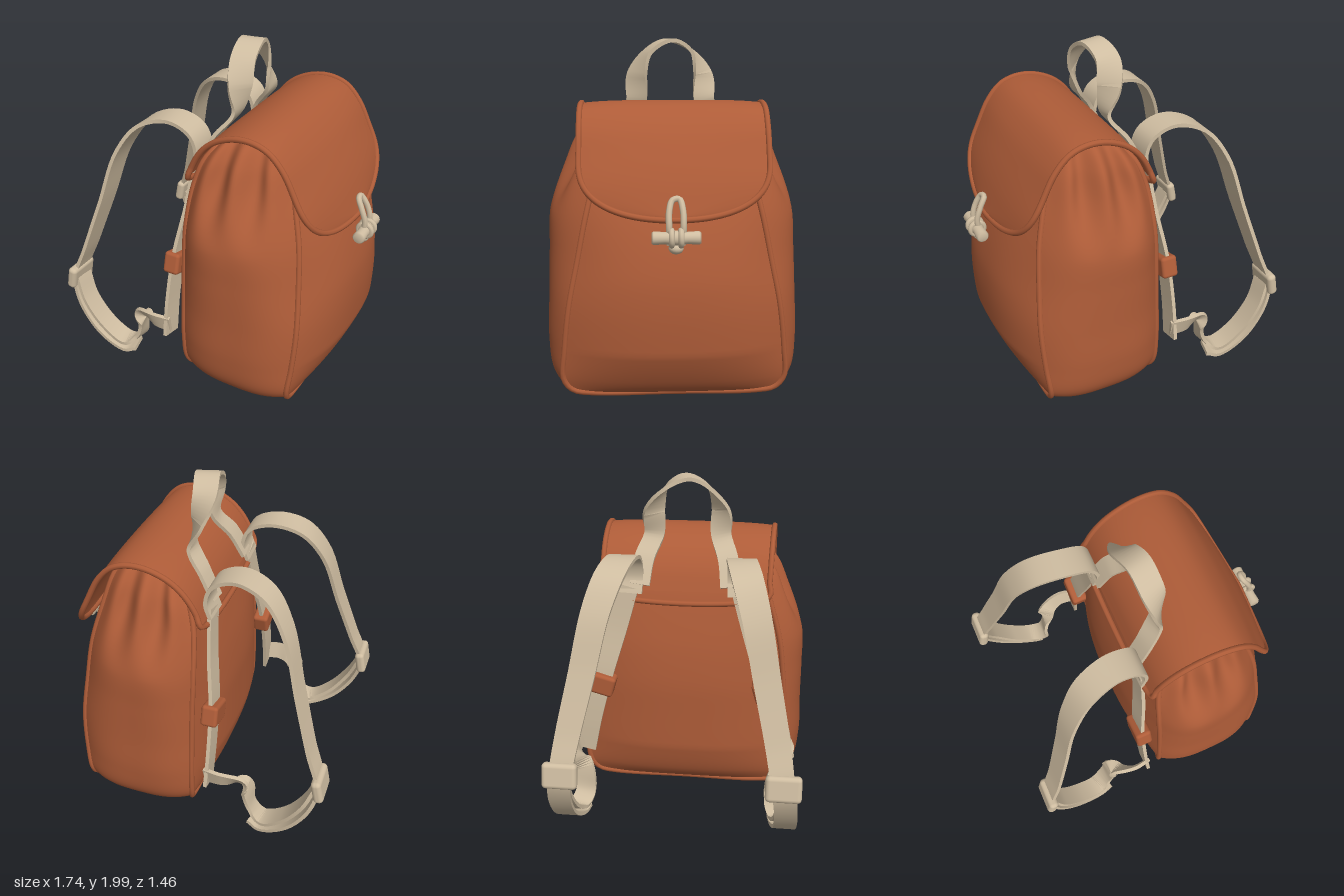
import * as THREE from 'three';
import { toCreasedNormals } from 'three/addons/utils/BufferGeometryUtils.js';
import { RoundedBoxGeometry } from 'three/addons/geometries/RoundedBoxGeometry.js';

const V = (x, y, z) => new THREE.Vector3(x, y, z);
const smooth = THREE.MathUtils.smoothstep;
const leather = new THREE.MeshStandardMaterial({ color: 0xae5c38, side: THREE.DoubleSide });
leather.name = 'brown leather';
const canvas = new THREE.MeshStandardMaterial({ color: 0xcfbda1 });
canvas.name = 'beige webbing';

// Surface from a rule f(i, j) -> point, on a grid of n by m cells
function grid(n, m, f) {
  const pos = [], idx = [];
  for (let i = 0; i <= n; i++) for (let j = 0; j <= m; j++) pos.push(...f(i, j).toArray());
  for (let i = 0; i < n; i++) for (let j = 0; j < m; j++) {
    const a = i * (m + 1) + j, b = a + m + 1;
    idx.push(a, b, a + 1, b, b + 1, a + 1);
  }
  const g = new THREE.BufferGeometry();
  g.setAttribute('position', new THREE.Float32BufferAttribute(pos, 3));
  g.setIndex(idx);
  g.computeVertexNormals();
  return g;
}

// Closed outline from a half outline (top centre down to bottom centre)
function loop(half) {
  const right = half.map(p => V(...p));
  const left = right.slice(1, -1).reverse().map(p => V(p.x, p.y, -p.z));
  return new THREE.CatmullRomCurve3([...right, ...left], true);
}

// Flat band swept along points [x, y, z, width direction x, y, z, width]
function band(points, thick = 0.022, n = 70) {
  const path = new THREE.CatmullRomCurve3(points.map(p => V(p[0], p[1], p[2])));
  const dirs = new THREE.CatmullRomCurve3(points.map(p => V(p[3], p[4], p[5])));
  const widths = new THREE.CatmullRomCurve3(points.map((p, i) => V(p[6], i, 0)));
  const corners = [[1, 1], [1, -1], [-1, -1], [-1, 1], [1, 1]];
  const g = grid(n + 2, 4, (i, j) => {
    const t = THREE.MathUtils.clamp((i - 1) / n, 0, 1);
    const cap = i === 0 || i === n + 2 ? 0 : 1;
    const c = path.getPoint(t), T = path.getTangent(t), W = dirs.getPoint(t);
    W.addScaledVector(T, -W.dot(T)).normalize();
    const N = T.clone().cross(W);
    const [a, b] = corners[j];
    return c.addScaledVector(W, cap * a * widths.getPoint(t).x / 2).addScaledVector(N, cap * b * thick / 2);
  });
  return toCreasedNormals(g, 0.8);
}

export function createModel() {
  const root = new THREE.Group();
  root.name = 'backpack';
  const add = (name, geo, mat, parent = root) => {
    const m = new THREE.Mesh(geo, mat);
    m.name = name;
    parent.add(m);
    return m;
  };

  // Seam outlines of the body, and the fuller outline midway between them
  const front = loop([[.46, 1.53, 0], [.46, 1.52, .3], [.5, 1.45, .36], [.55, 1.28, .42], [.61, 1.05, .48], [.64, .8, .53],
    [.66, .55, .58], [.65, .3, .61], [.63, .12, .62], [.62, .05, .57], [.62, .03, .46], [.62, .03, 0]]);
  const mid = loop([[.27, 1.6, 0], [.27, 1.575, .4], [.27, 1.47, .53], [.28, 1.3, .61], [.3, 1.03, .7], [.3, .8, .712],
    [.3, .55, .718], [.3, .3, .725], [.3, .12, .7], [.3, .03, .63], [.3, .005, .5], [.3, .002, 0]]);
  const back = loop([[.05, 1.49, 0], [.05, 1.48, .38], [.01, 1.42, .45], [-.03, 1.28, .5], [-.05, 1.03, .57], [-.05, .8, .6],
    [-.05, .55, .62], [-.05, .3, .635], [-.045, .12, .62], [-.03, .05, .57], [-.03, .03, .46], [-.03, .03, 0]]);

  // Sides and bottom in one strip, gathered into pleats near the top
  add('sidesAndBottom', grid(176, 40, (i, j) => {
    const t = i / 176, s = j / 20 - 1;
    const f = front.getPoint(t), b = back.getPoint(t), m = mid.getPoint(t);
    const edge = b.clone().lerp(f, (s + 1) / 2);
    const full = 1 - Math.abs(s) ** 3;
    const p = edge.clone();
    const chord = b.lerp(f, 0.5);
    p.y += (m.y - chord.y) * full;
    p.z += (m.z - chord.z) * full;
    const fold = smooth(p.y, 1.0, 1.42) * (0.5 - 0.5 * Math.cos(Math.PI * 2.7 * s)) * (1 - s ** 4);
    p.z *= 1 - 0.15 * fold;
    return p;
  }), leather);

  // Bulging front and back panels
  const panel = (outline, dir, depth) => grid(88, 30, (i, j) => {
    const p = outline.getPoint(i / 176), u = dir * (1 - j / 15);
    const rise = Math.min(1, Math.max(0, (p.y - 0.03) / 0.27)) ** 0.5;
    p.x += dir * depth * rise * (1 - smooth(p.y, 0.65, 1.5)) * (1 - Math.abs(u) ** 2.5);
    p.z *= u;
    return p;
  });
  add('frontPanel', panel(front, 1, 0.142), leather);
  add('backPanel', panel(back, -1, 0.105), leather);
  add('frontPiping', new THREE.TubeGeometry(front, 160, 0.017, 8, true), leather);
  add('backPiping', new THREE.TubeGeometry(back, 160, 0.017, 8, true), leather);

  // Flap over the top, with a rounded front end and a rolled edge
  const flapLine = new THREE.CatmullRomCurve3([[-.075, 1.32], [-.02, 1.45], [.07, 1.56], [.18, 1.622], [.3, 1.645],
    [.42, 1.618], [.53, 1.52], [.62, 1.38], [.69, 1.24], [.755, 1.065]].map(p => V(p[0], p[1], 0)));
  const flapPoint = (v, u) => {
    const t = 1 - (1 - v) ** 2;
    const q = Math.max(0, (t - 0.76) / 0.24);
    const half = (0.495 + 0.02 * Math.min(1, t * 2)) * Math.max(0, 1 - q ** 2.6) ** (1 / 2.3);
    const p = flapLine.getPointAt(t);
    p.x -= 0.03 * u * u * smooth(t, 0.5, 0.8) * (half / 0.515);
    p.y -= 0.015 * u ** 4;
    p.z = u * half;
    return p;
  };
  add('flap', grid(60, 24, (i, j) => flapPoint(i / 60, 1 - j / 12)), leather);
  const rim = [];
  for (let i = 0; i <= 30; i++) rim.push(flapPoint(i / 30, 1));
  for (let i = 29; i >= 0; i--) rim.push(flapPoint(i / 30, -1));
  add('flapEdge', new THREE.TubeGeometry(new THREE.CatmullRomCurve3(rim, true), 200, 0.017, 8, true), leather);

  // Carrying handle, turning flat at the top
  add('handle', band([[-.085, 1.36, .27, 0, 0, -1, .12], [-.01, 1.5, .25, 0, 0, -1, .12], [.08, 1.63, .2, 0, 0, -1, .12],
    [.09, 1.78, .195, .7, 0, -.8, .14], [.075, 1.91, .13, 1, 0, -.3, .14], [.06, 1.975, 0, 1, 0, -.25, .14],
    [.03, 1.91, -.13, 1, 0, .1, .14], [.05, 1.78, -.195, .7, 0, .8, .14], [.08, 1.63, -.2, 0, 0, 1, .12],
    [-.01, 1.5, -.25, 0, 0, 1, .12], [-.085, 1.36, -.27, 0, 0, 1, .12]]), canvas);

  // Shoulder straps, one on each side
  for (const [name, k] of [['leftSideStrap', 1], ['rightSideStrap', -1]]) {
    const strap = new THREE.Group();
    strap.name = name;
    root.add(strap);
    const side = pts => pts.map(p => [p[0], p[1], p[2] * k, p[3], p[4], p[5] * k, p[6]]);
    add('shoulderBand', band(side([[-.1, 1.31, .34, 0, 0, 1, .17], [-.07, 1.41, .335, 0, 0, 1, .17], [-.11, 1.52, .335, 0, 0, 1, .17],
      [-.25, 1.575, .34, 0, 0, 1, .17], [-.42, 1.525, .38, 0, 0, 1, .17], [-.55, 1.35, .44, 0, 0, 1, .16],
      [-.65, 1.02, .51, 0, 0, 1, .15], [-.75, .7, .58, 0, 0, 1, .14], [-.825, .47, .62, 0, 0, 1, .13],
      [-.79, .31, .64, 0, 0, 1, .13], [-.66, .12, .64, 0, 0, 1, .13], [-.5, .025, .62, 0, 0, 1, .13], [-.43, .04, .6, 0, 0, 1, .13]])), canvas);
    add('lowerBand', band(side([[-.81, .47, .62, 0, 0, 1, .12], [-.75, .32, .64, 0, 0, 1, .12], [-.63, .15, .63, 0, 0, 1, .12],
      [-.5, .065, .61, 0, 0, 1, .12], [-.42, .11, .58, 0, .2, 1, .12], [-.39, .24, .58, .3, .2, 1, .12],
      [-.35, .33, .62, -.3, .8, .6, .11], [-.25, .35, .66, 0, 1, .3, .11], [-.14, .345, .65, 0, 1, .2, .11]])), canvas);
    add('backWebbing', band(side([[-.09, 1.35, .34, 0, 0, 1, .13], [-.11, 1.1, .41, 0, 0, 1, .13], [-.15, .8, .5, 0, 0, 1, .13],
      [-.16, .5, .58, 0, 0, 1, .13], [-.155, .27, .63, 0, 0, 1, .13]])), canvas);
    const buckle = add('buckle', new RoundedBoxGeometry(0.06, 0.15, 0.2, 3, 0.025), canvas, strap);
    buckle.position.set(-0.83, 0.48, 0.62 * k);
    buckle.rotation.z = -0.2;
    const keeper = add('keeperLoop', new RoundedBoxGeometry(0.1, 0.13, 0.18, 3, 0.02), leather, strap);
    keeper.position.set(-0.15, 0.735, 0.515 * k);
    keeper.rotation.x = 0.28 * -k;
    for (const m of root.children.filter(c => /Band|Webbing/.test(c.name))) strap.add(m);
  }

  // Toggle fastening
  const toggle = new THREE.Group();
  toggle.name = 'toggle';
  root.add(toggle);
  const bar = new THREE.LatheGeometry([[0, -.13], [.028, -.13], [.036, -.12], [.032, -.06], [.04, 0], [.032, .06], [.036, .12],
    [.028, .13], [0, .13]].map(p => new THREE.Vector2(...p)), 20).rotateX(Math.PI / 2);
  add('toggleBar', bar, canvas, toggle).position.set(0.815, 0.97, 0);
  const cord = new THREE.CatmullRomCurve3([[.8, .93, .035], [.815, 1.03, .038], [.79, 1.11, .036], [.762, 1.16, .018],
    [.757, 1.165, -.018], [.79, 1.11, -.036], [.815, 1.03, -.038], [.8, .93, -.035]].map(p => V(...p)));
  add('cordLoop', new THREE.TubeGeometry(cord, 50, 0.017, 8), canvas, toggle);
  for (const z of [-0.025, 0.025])
    add('cordWrap', new THREE.TorusGeometry(0.04, 0.016, 8, 20), canvas, toggle).position.set(0.815, 0.97, z);
  const knot = add('knot', new THREE.SphereGeometry(0.04, 16, 12), canvas, toggle);
  knot.position.set(0.795, 0.91, 0);
  knot.scale.y = 0.8;
  return root;
}
